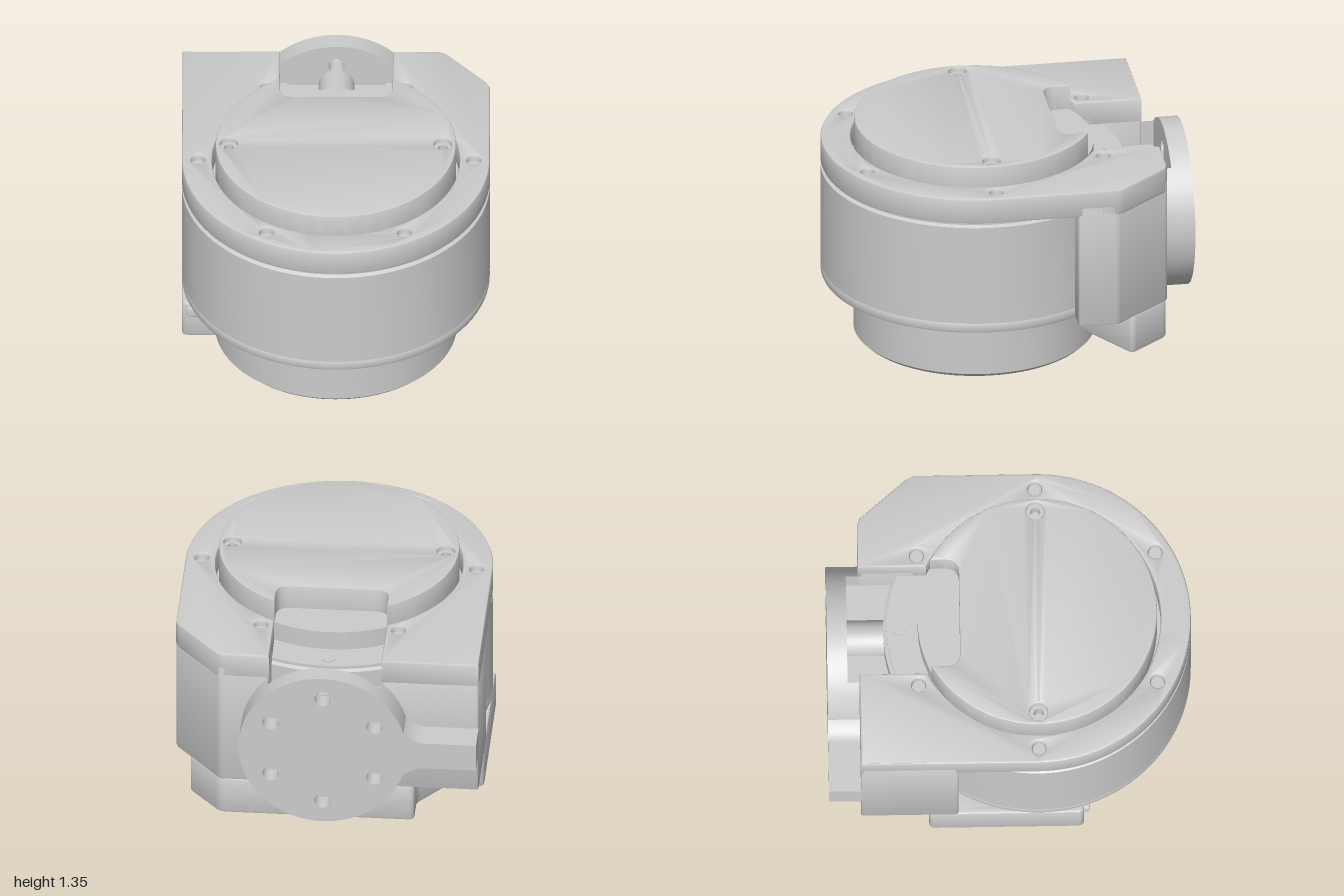
import * as THREE from 'three';
import { toCreasedNormals } from 'three/addons/utils/BufferGeometryUtils.js';

const AXIS = 0.155; // z of the drum's vertical axis
const material = new THREE.MeshStandardMaterial({ color: 0xcccccc, side: THREE.DoubleSide });

// Closed outline with rounded corners
function rounded(points, r, Type = THREE.Shape) {
  const path = new Type();
  const n = points.length;
  const v = points.map(([x, y]) => new THREE.Vector2(x, y));
  v.forEach((p, i) => {
    const before = v[(i + n - 1) % n], after = v[(i + 1) % n];
    const toward = (q) => p.clone().lerp(q, Math.min(0.45, r / p.distanceTo(q)));
    const a = toward(before), b = toward(after);
    if (i === 0) path.moveTo(a.x, a.y); else path.lineTo(a.x, a.y);
    path.quadraticCurveTo(p.x, p.y, b.x, b.y);
  });
  path.closePath();
  return path;
}

function circle(x, y, r, Type = THREE.Path) {
  const path = new Type();
  path.absarc(x, y, r, 0, Math.PI * 2, false);
  return path;
}

// Points on a circle around (cx, cy)
function ringPoints(cx, cy, r, count, start = 0) {
  return Array.from({ length: count }, (_, i) => {
    const a = start + (i * Math.PI * 2) / count;
    return [cx + r * Math.cos(a), cy + r * Math.sin(a)];
  });
}

function extrude(shape, depth, bevel) {
  const geometry = new THREE.ExtrudeGeometry(shape, {
    depth: depth - 2 * bevel, bevelEnabled: bevel > 0, bevelThickness: bevel,
    bevelSize: bevel, bevelOffset: -bevel, bevelSegments: 2, curveSegments: 48,
  });
  return toCreasedNormals(geometry.translate(0, 0, bevel), 0.6);
}

export function createModel() {
  const model = new THREE.Group();
  const add = (name, geometry) => {
    const mesh = new THREE.Mesh(geometry, material);
    mesh.name = name;
    model.add(mesh);
    return mesh;
  };
  // Horizontal plate; the outline is drawn in (x, -z)
  const plate = (name, shape, y0, y1, bevel = 0) =>
    add(name, extrude(shape, y1 - y0, bevel).rotateX(-Math.PI / 2).translate(0, y0, 0));
  // Upright plate; the outline is drawn in (x, y)
  const upright = (name, shape, z0, z1, bevel = 0) =>
    add(name, extrude(shape, z1 - z0, bevel).translate(0, 0, z0));
  const lathe = (name, profile) => {
    const points = profile.map(([r, y]) => new THREE.Vector2(r, y));
    return add(name, toCreasedNormals(new THREE.LatheGeometry(points, 96), 0.5).translate(0, 0, AXIS));
  };
  const peg = (name, x, z, r, y0, y1) =>
    add(name, new THREE.CylinderGeometry(r, r, y1 - y0, 24).translate(x, (y0 + y1) / 2, z));

  const windowHole = () => rounded([[-0.825, 0.45], [-0.65, 0.45], [-0.49, 0.65],
    [-0.49, 0.805], [-0.825, 0.805]], 0.04, THREE.Path);

  // Drum, with a bolt flange under it and a groove below the cover
  lathe('drum', [[0, 0.48], [0.845, 0.48], [0.845, 1.06], [0.825, 1.07], [0.825, 1.088], [0, 1.088]]);
  const flange = circle(0, -AXIS, 0.845, THREE.Shape);
  ringPoints(0, -AXIS, 0.755, 12, Math.PI / 12).forEach(([x, y]) => flange.holes.push(circle(x, y, 0.028)));
  plate('drumFlange', flange, 0.42, 0.485, 0.015);

  // Cover with a rounded front, square back corner, chamfer and rear slot
  const slotX = 0.31;
  const cover = new THREE.Shape();
  const inner = Math.acos(slotX / 0.68);
  cover.absarc(0, -AXIS, 0.845, Math.PI, Math.PI * 2, false);
  [[0.845, 0.51], [0.825, 0.55], [0.6, 0.81], [0.56, 0.825], [slotX, 0.825]].forEach((p) => cover.lineTo(...p));
  cover.absarc(0, -AXIS, 0.68, inner, Math.PI - inner, true);
  [[-slotX, 0.825], [-0.845, 0.825]].forEach((p) => cover.lineTo(...p));
  cover.closePath();
  cover.holes.push(windowHole());
  ringPoints(0, -AXIS, 0.757, 6, Math.PI / 6 - Math.PI / 6).forEach(([x, y]) => {
    cover.holes.push(circle(x, y, 0.038));
    peg('coverBolt', x, -y, 0.036, 1.1, 1.2);
  });
  plate('cover', cover, 1.085, 1.235, 0.012);
  peg('ledgeBolt', 0, -0.6, 0.036, 1.08, 1.094);

  // Rear columns either side of the slot
  const rightColumn = rounded([[0.5, 0.29], [0.845, 0.29], [0.845, 0.51],
    [0.58, 0.825], [slotX, 0.825], [slotX, 0.5]], 0.02);
  plate('column', rightColumn, 0.42, 1.15, 0.012);
  const leftColumn = rounded([[-0.5, 0.29], [-slotX, 0.5], [-slotX, 0.825],
    [-0.845, 0.825], [-0.845, 0.29]], 0.015);
  leftColumn.holes.push(windowHole());
  plate('windowColumn', leftColumn, 0.42, 1.15, 0.008);

  // Floor of the slot with a cable ridge
  add('slotFloor', new THREE.BoxGeometry(0.64, 0.53, 0.3).translate(0, 0.685, -0.68));
  add('slotRidge', new THREE.CylinderGeometry(0.1, 0.1, 0.28, 32).rotateX(Math.PI / 2).translate(0, 0.95, -0.76));

  // Top disc with a rear pocket, and the pocket floor
  const top = new THREE.Shape();
  const cut = Math.acos(slotX / 0.66);
  top.absarc(0, -AXIS, 0.66, Math.PI - cut, Math.PI * 2 + cut, false);
  top.lineTo(slotX, 0.35);
  top.quadraticCurveTo(slotX, 0.27, 0.23, 0.27);
  top.lineTo(-0.23, 0.27);
  top.quadraticCurveTo(-slotX, 0.27, -slotX, 0.35);
  top.closePath();
  for (const side of [-1, 1]) {
    top.holes.push(circle(side * 0.587, -AXIS, 0.05));
    const screw = circle(side * 0.587, -AXIS, 0.05, THREE.Shape);
    screw.holes.push(circle(side * 0.587, -AXIS, 0.028));
    plate('discScrew', screw, 1.24, 1.315);
  }
  plate('topDisc', top, 1.08, 1.345, 0.008);
  lathe('pocketFloor', [[0, 1.2], [0.655, 1.2], [0.655, 1.07]]);

  // Lower drum with its recessed end plate, centre boss and pegs
  lathe('lowerDrum', [[0, 0.1], [0.475, 0.1], [0.475, 0.07], [0.645, 0.07], [0.665, 0.09], [0.665, 0.45]]);
  const end = circle(0, -AXIS, 0.465, THREE.Shape);
  end.holes.push(circle(0, -AXIS, 0.15));
  ringPoints(0, -AXIS, 0.318, 3, 0).forEach(([x, y]) => end.holes.push(circle(x, y, 0.03)));
  plate('endPlate', end, 0.06, 0.105, 0.006);
  lathe('centreBoss', [[0.03, 0.1], [0.03, 0.05], [0.07, 0.05], [0.07, 0.07], [0.13, 0.07], [0.13, 0.1]]);
  ringPoints(0, AXIS, 0.318, 3, Math.PI / 3).forEach(([x, z]) => peg('peg', x, z, 0.042, 0, 0.1));

  // Lower bracket: rear bar plus a leg forward beside the lower drum
  const bracket = rounded([[0.77, 0.6], [0.58, 0.82], [-0.49, 0.82], [-0.49, 0.65], [-0.65, 0.45],
    [-0.845, 0.45], [-0.845, -0.4], [-0.6, -0.4], [-0.6, 0], [-0.4, 0.36], [0.4, 0.36]], 0.035);
  [[0.35, 0.72, 0.055], [-0.35, 0.72, 0.055], [0.3, 0.585, 0.035], [-0.32, 0.56, 0.035], [-0.75, 0, 0.035]]
    .forEach(([x, y, r]) => bracket.holes.push(circle(x, y, r)));
  plate('bracket', bracket, 0.2, 0.425, 0.015);
  const pad = rounded([[-0.82, 0.35], [-0.6, 0.35], [-0.6, 0.415], [-0.82, 0.415]], 0.025);
  upright('bracketPad', pad, 0.3, 0.43, 0.01);

  // Rear mounting disc with six blind bolt holes, and its notched backing
  const mountY = 0.75, mountR = 0.463;
  const mount = circle(0, mountY, mountR, THREE.Shape);
  ringPoints(0, mountY, 0.33, 6, Math.PI / 6).forEach(([x, y]) => mount.holes.push(circle(x, y, 0.045)));
  upright('mountDisc', mount, -1, -0.89);
  const backing = new THREE.Shape();
  const notch = Math.acos(slotX / mountR);
  backing.absarc(0, mountY, mountR, notch, Math.PI - notch, true);
  backing.lineTo(-slotX, 0.95);
  backing.lineTo(slotX, 0.95);
  backing.closePath();
  upright('mountBacking', backing, -0.89, -0.82);

  // Side arm flaring out of the mounting disc
  const arm = new THREE.Shape();
  arm.moveTo(-0.36, 0.51);
  arm.quadraticCurveTo(-0.46, 0.66, -0.56, 0.66);
  arm.lineTo(-0.845, 0.66);
  arm.lineTo(-0.845, 0.82);
  arm.lineTo(-0.56, 0.82);
  arm.quadraticCurveTo(-0.46, 0.82, -0.36, 0.99);
  arm.closePath();
  upright('sideArm', arm, -1, -0.82);

  return model;
}
